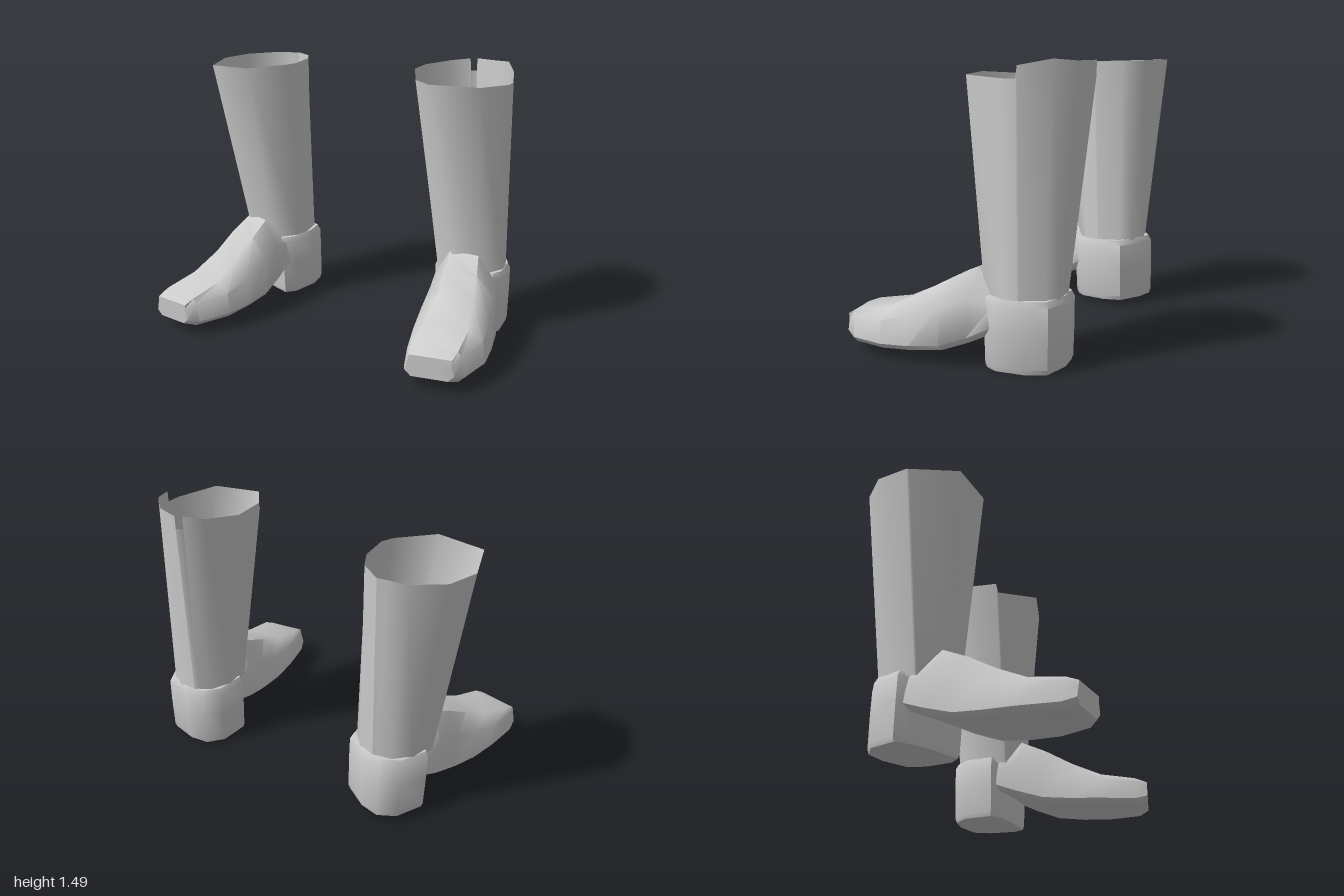
import * as THREE from 'three';
import { toCreasedNormals } from 'three/addons/utils/BufferGeometryUtils.js';

const solid = new THREE.MeshStandardMaterial({ color: 0xcccccc });
const thin = new THREE.MeshStandardMaterial({ color: 0xcccccc, side: THREE.DoubleSide });

// Skin closed rings (clockwise seen from the last ring's side); optional end caps
function loft(rings, caps, crease) {
  const n = rings[0].length, last = (rings.length - 1) * n;
  const pos = rings.flat(2), index = [];
  for (let i = 0; i < rings.length - 1; i++) {
    for (let j = 0; j < n; j++) {
      const k = (j + 1) % n;
      const a = i * n + j, b = i * n + k, c = b + n, d = a + n;
      index.push(a, c, b, a, d, c);
    }
  }
  if (caps) {
    [[rings[0], 0, false], [rings[rings.length - 1], last, true]].forEach(([ring, start, end]) => {
      const centre = pos.length / 3;
      for (let c = 0; c < 3; c++) pos.push(ring.reduce((s, p) => s + p[c], 0) / n);
      for (let j = 0; j < n; j++) {
        const a = start + j, b = start + (j + 1) % n;
        index.push(centre, end ? b : a, end ? a : b);
      }
    });
  }
  const geo = new THREE.BufferGeometry();
  geo.setAttribute('position', new THREE.Float32BufferAttribute(pos, 3));
  geo.setIndex(index);
  geo.computeVertexNormals();
  return crease ? toCreasedNormals(geo, crease) : geo;
}

// Foot stations, toe to ankle: left x,z, right x,z, sole y, shoulder y, top y, top left x, top right x
const footStations = [
  [0.12, 0.94, 0.36, 0.87, 0.07, 0.16, 0.185, 0.14, 0.35],
  [0.08, 0.88, 0.385, 0.81, 0.05, 0.185, 0.212, 0.12, 0.35],
  [0.00, 0.69, 0.40, 0.62, 0.055, 0.20, 0.25, 0.08, 0.31],
  [-0.055, 0.52, 0.36, 0.47, 0.06, 0.24, 0.33, 0.05, 0.25],
  [-0.09, 0.37, 0.31, 0.32, 0.075, 0.30, 0.415, 0.00, 0.19],
  [-0.14, 0.22, 0.25, 0.20, 0.12, 0.34, 0.48, -0.04, 0.13],
  [-0.18, 0.06, 0.20, 0.08, 0.18, 0.32, 0.36, -0.10, 0.13],
];

function footRing([lx, lz, rx, rz, yb, ys, yt, tl, tr]) {
  const at = (x, y) => [x, y, lz + (rz - lz) * (x - lx) / (rx - lx)];
  return [
    at(lx + 0.03, yb), at(rx - 0.03, yb), at(rx, yb + 0.03), at(rx - 0.015, ys),
    at(tr, yt), at(tl, yt), at(lx + 0.015, ys), at(lx, yb + 0.03),
  ];
}

// Heel outline (x, z)
const heelOutline = [
  [-0.20, 0.09], [-0.21, -0.08], [-0.15, -0.175], [-0.04, -0.205], [0.12, -0.19],
  [0.18, -0.10], [0.215, 0.06], [0.19, 0.13], [0.00, 0.14], [-0.12, 0.13],
];
// Heel levels: height, scale
const heelLevels = [[0, 0.94], [0.025, 0.98], [0.2, 1], [0.33, 1], [0.36, 0.93]];

// Shaft: rim x,z, ankle x,z, worn rim height
const shaftRows = [
  [-0.31, 0.18, -0.14, 0.16, 1.40],
  [-0.32, 0.17, -0.15, 0.15, 1.46],
  [-0.36, -0.01, -0.19, 0.00, 1.46],
  [-0.29, -0.18, -0.16, -0.11, 1.47],
  [-0.20, -0.245, -0.10, -0.16, 1.48],
  [-0.20, -0.245, -0.10, -0.16, 1.41],
  [-0.17, -0.27, -0.085, -0.175, 1.41],
  [-0.17, -0.27, -0.085, -0.175, 1.48],
  [-0.03, -0.25, 0.02, -0.19, 1.48],
  [0.07, -0.18, 0.10, -0.16, 1.49],
  [0.165, -0.045, 0.17, -0.06, 1.46],
  [0.17, -0.04, 0.175, -0.05, 1.40],
  [0.18, 0.04, 0.19, 0.02, 1.40],
  [0.13, 0.27, 0.14, 0.16, 1.41],
  [-0.12, 0.36, 0.00, 0.22, 1.415],
];

function makeBoot(name, worn) {
  const boot = new THREE.Group();
  boot.name = name;
  const add = (part, geo, mat) => {
    const mesh = new THREE.Mesh(geo, mat);
    mesh.name = part;
    boot.add(mesh);
  };
  add('foot', loft(footStations.map(footRing), true, 0.85), solid);
  add('heel', loft(heelLevels.map(([y, s]) => heelOutline.map(([x, z]) => [x * s, y, z * s])), true, 0.85), solid);
  add('shaft', loft([
    shaftRows.map(([, , x, z]) => [x, 0.33, z]),
    shaftRows.map(([x, z, , , y]) => [x, worn ? y : 1.41, z]),
  ], false), thin);
  return boot;
}

export function createModel() {
  const model = new THREE.Group();
  model.name = 'boots';

  // Worn boot with a torn rim
  const wornBoot = makeBoot('wornBoot', true);
  wornBoot.position.set(0.6, 0, -0.42);

  // Same boot turned inward and tipped slightly forward
  const plainBoot = makeBoot('plainBoot', false);
  plainBoot.position.set(-0.635, 0.03, -0.235);
  plainBoot.rotation.set(0.04, -0.34, 0.01);

  model.add(wornBoot, plainBoot);
  return model;
}
